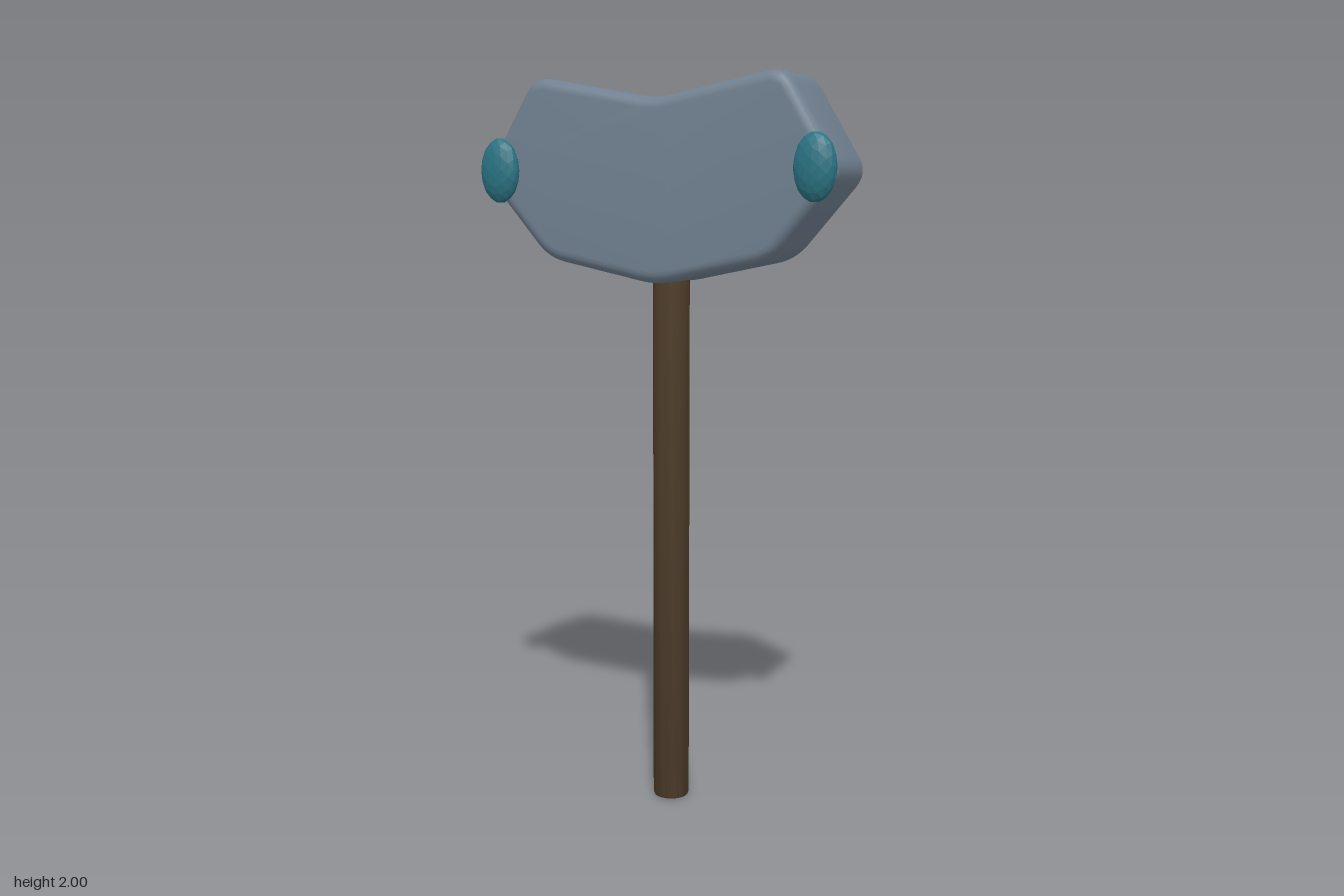
import * as THREE from 'three';
import { toCreasedNormals } from 'three/addons/utils/BufferGeometryUtils.js';

const material = (color, flatShading = false) =>
  new THREE.MeshStandardMaterial({ color, flatShading, roughness: 0.7 });

function addMesh(parent, name, geometry, mat) {
  const mesh = new THREE.Mesh(geometry, mat);
  mesh.name = name;
  parent.add(mesh);
  return mesh;
}

// Closed outline whose corners are softened by a curve starting `d` from each corner
function roundedOutline(corners, d) {
  const shape = new THREE.Shape();
  corners.forEach((p, i) => {
    const prev = corners.at(i - 1);
    const next = corners[(i + 1) % corners.length];
    const a = prev.clone().sub(p).setLength(d).add(p);
    const b = next.clone().sub(p).setLength(d).add(p);
    if (i === 0) shape.moveTo(a.x, a.y);
    else shape.lineTo(a.x, a.y);
    shape.quadraticCurveTo(p.x, p.y, b.x, b.y);
  });
  shape.closePath();
  return shape;
}

export function createModel() {
  const model = new THREE.Group();
  model.name = 'hammer';
  const axisZ = -0.022;

  // Stone head: mirrored outline with a dipped top and rounded edges
  const half = [[0.325, 1.52], [0.52, 1.745], [0.362, 2.007]];
  const corners = [
    [0, 1.453], ...half, [0, 1.938],
    ...half.map(([x, y]) => [-x, y]).reverse(),
  ].map(([x, y]) => new THREE.Vector2(x, y));
  const depth = 0.235, bevel = 0.03;
  const headGeometry = new THREE.ExtrudeGeometry(roundedOutline(corners, 0.05), {
    depth: depth - 2 * bevel,
    bevelThickness: bevel,
    bevelSize: bevel,
    bevelOffset: -bevel,
    bevelSegments: 5,
    curveSegments: 6,
  });
  headGeometry.translate(0, 0, axisZ - depth / 2 + bevel);
  addMesh(model, 'head', toCreasedNormals(headGeometry, 0.6), material(0x708090));

  // Wooden handle with softened rims, reaching into the head
  const r = 0.05, rim = 0.01, top = 1.55;
  const profile = [
    [0, 0], [r - rim, 0], [r - rim * 0.3, rim * 0.3], [r, rim],
    [r, top - rim], [r - rim, top], [0, top],
  ].map(([x, y]) => new THREE.Vector2(x, y));
  const handleGeometry = toCreasedNormals(new THREE.LatheGeometry(profile, 32), 0.5);
  addMesh(model, 'handle', handleGeometry, material(0x4f3d2b)).position.z = axisZ;

  // Faceted oval gems on the front, one at each end
  const gemGeometry = new THREE.IcosahedronGeometry(1, 2).scale(0.058, 0.088, 0.031);
  const gemMaterial = material(0x2a7382, true);
  for (const side of [1, -1]) {
    addMesh(model, side > 0 ? 'leftGem' : 'rightGem', gemGeometry, gemMaterial)
      .position.set(side * 0.455, 1.756, 0.109);
  }
  return model;
}
